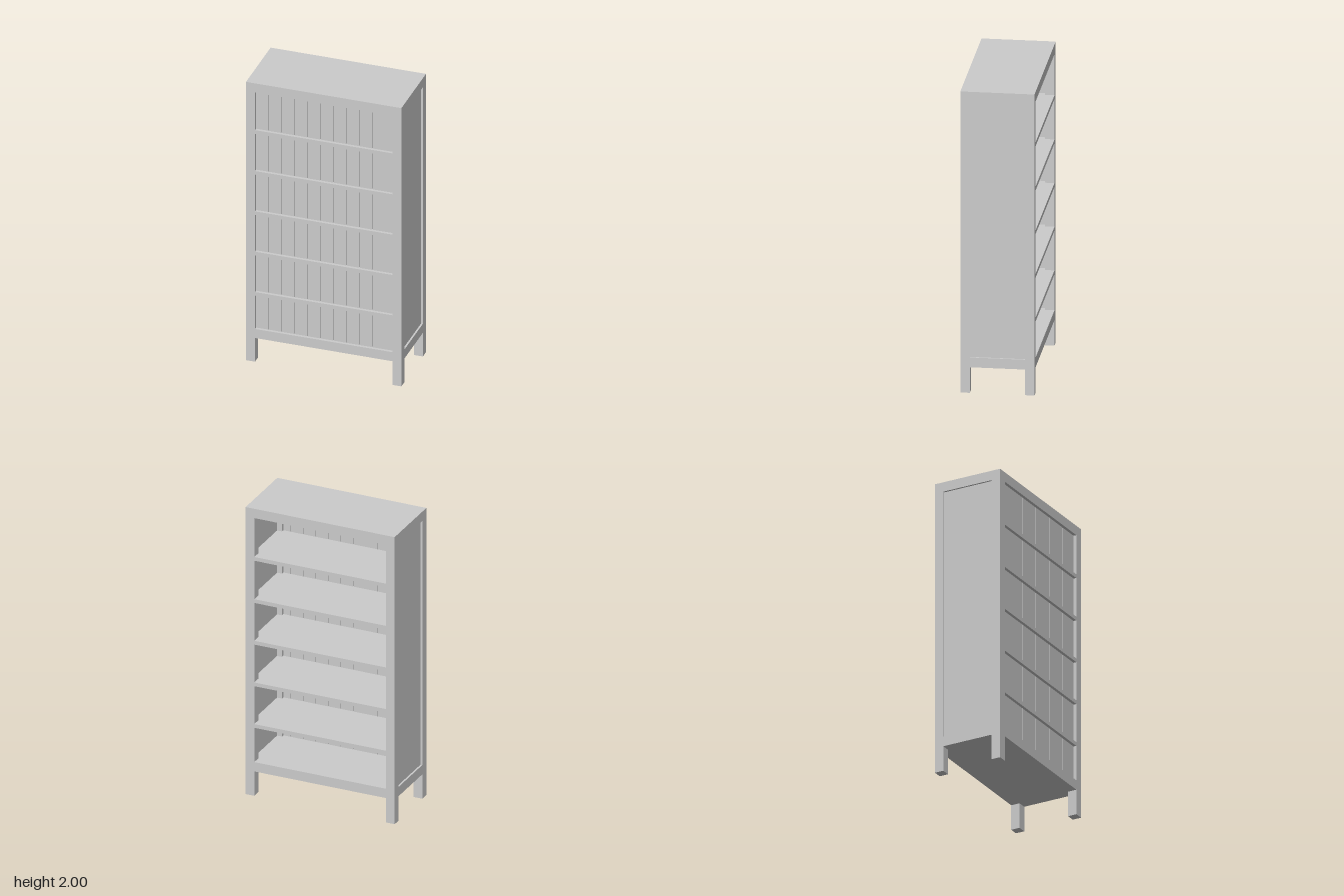
import * as THREE from 'three';

export function createModel() {
  const model = new THREE.Group();
  model.name = 'bookcase';
  const material = new THREE.MeshStandardMaterial({ color: 0xcccccc, flatShading: true });

  // Box given by its minimum and maximum corners
  function box(name, x0, x1, y0, y1, z0, z1) {
    const mesh = new THREE.Mesh(new THREE.BoxGeometry(x1 - x0, y1 - y0, z1 - z0), material);
    mesh.position.set((x0 + x1) / 2, (y0 + y1) / 2, (z0 + z1) / 2);
    mesh.name = name;
    model.add(mesh);
    return mesh;
  }

  const W = 0.517, D = 0.235, H = 2;      // half width, half depth, height
  const post = 0.06;                      // square corner posts
  const ix = W - post, iz = D - post;     // inner faces of the posts
  const base = 0.17, floor = 0.235, ceiling = 1.935;
  const panelOut = W - 0.012, panelIn = W - 0.026;

  // Top and bottom slabs
  box('top', -W, W, ceiling, H, -D, D);
  box('bottomMiddle', -W, W, base, floor, -iz, iz);
  for (const s of [-1, 1]) {
    const z = s * (iz + post / 2);
    box('bottomRail', -ix, ix, base, floor, z - post / 2, z + post / 2);
  }

  // Corner posts running down into the legs, and recessed side panels
  for (const sx of [-1, 1]) {
    const px = sx * (ix + post / 2);
    for (const sz of [-1, 1]) {
      const pz = sz * (iz + post / 2);
      box('cornerPost', px - post / 2, px + post / 2, 0, ceiling, pz - post / 2, pz + post / 2);
    }
    const xc = sx * (panelOut + panelIn) / 2, half = (panelOut - panelIn) / 2;
    box('sidePanel', xc - half, xc + half, floor, ceiling, -iz, iz);
  }

  // Shelves notched around the posts
  const shelfShape = new THREE.Shape([
    [-ix, -D], [ix, -D], [ix, -iz], [panelIn, -iz], [panelIn, iz], [ix, iz],
    [ix, D], [-ix, D], [-ix, iz], [-panelIn, iz], [-panelIn, -iz], [-ix, -iz],
  ].map(([x, y]) => new THREE.Vector2(x, y)));
  const shelfGeometry = new THREE.ExtrudeGeometry(shelfShape, { depth: 0.026, bevelEnabled: false });
  shelfGeometry.rotateX(-Math.PI / 2);
  for (const y of [0.474, 0.764, 1.054, 1.344, 1.638]) {
    const shelf = new THREE.Mesh(shelfGeometry, material);
    shelf.position.y = y;
    shelf.name = 'shelf';
    model.add(shelf);
  }

  // Upright boards closing the front, with narrow gaps between them
  const pitch = 0.0863, gap = 0.003;
  for (let x = -ix; x < ix; x += pitch) {
    box('frontBoard', x, Math.min(x + pitch - gap, ix), floor, ceiling, D - 0.04, D - 0.02);
  }
  return model;
}
